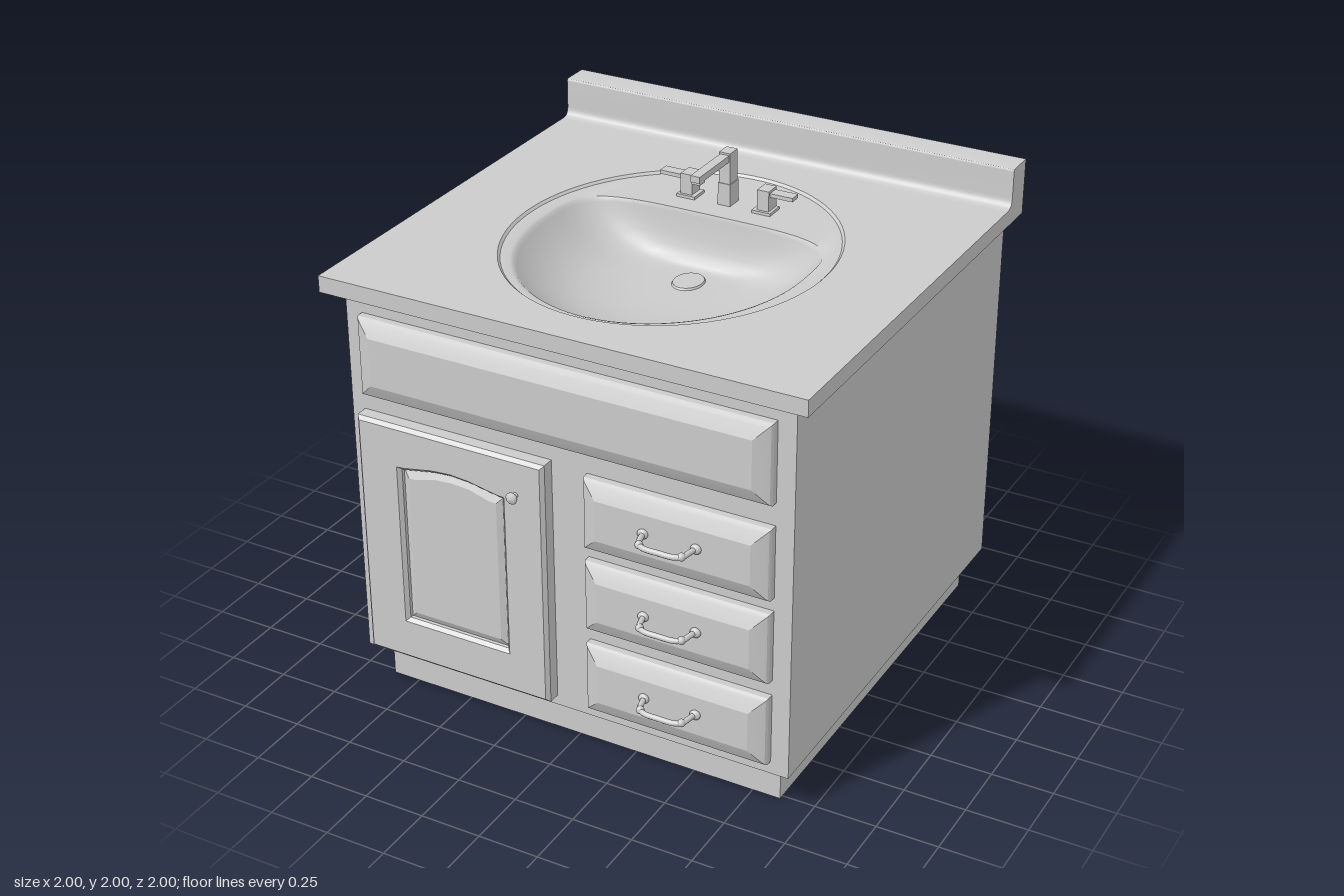
import * as THREE from 'three';
import { toCreasedNormals } from 'three/addons/utils/BufferGeometryUtils.js';

const grey = new THREE.MeshStandardMaterial({ color: 0xcccccc });
const greyDouble = new THREE.MeshStandardMaterial({ color: 0xcccccc, side: THREE.DoubleSide });

function add(parent, name, geometry, material = grey) {
  const mesh = new THREE.Mesh(geometry, material);
  mesh.name = name;
  parent.add(mesh);
  return mesh;
}

// Box given by its limits on each axis
function box(x0, x1, y0, y1, z0, z1) {
  return new THREE.BoxGeometry(x1 - x0, y1 - y0, z1 - z0)
    .translate((x0 + x1) / 2, (y0 + y1) / 2, (z0 + z1) / 2);
}

// Skin over equal-length rings of [x, y, z], closed with a fan on the last ring
function loft(rings, crease) {
  const n = rings[0].length, last = rings[rings.length - 1], index = [];
  const centre = [0, 1, 2].map(k => last.reduce((s, p) => s + p[k], 0) / n);
  for (let r = 0; r < rings.length - 1; r++) {
    for (let i = 0; i < n; i++) {
      const a = r * n + i, b = r * n + (i + 1) % n;
      index.push(a, b, b + n, a, b + n, a + n);
    }
  }
  const base = (rings.length - 1) * n;
  for (let i = 0; i < n; i++) index.push(base + i, base + (i + 1) % n, rings.length * n);
  const g = new THREE.BufferGeometry();
  g.setAttribute('position', new THREE.Float32BufferAttribute([...rings.flat(2), ...centre], 3));
  g.setIndex(index);
  return toCreasedNormals(g, crease);
}

// Raised panel front with a rounded edge and a wide bevel
function raisedPanel(x0, x1, y0, y1) {
  const steps = [[0, 0.83], [0, 0.868], [0.006, 0.878], [0.016, 0.884], [0.065, 0.906]];
  return loft(steps.map(([i, z]) => [
    [x0 + i, y0 + i, z], [x1 - i, y0 + i, z], [x1 - i, y1 - i, z], [x0 + i, y1 - i, z],
  ]), 0.2);
}

// Arched outline of the door panel, drawn in by i
function arch(i) {
  const l = -0.70 + i, r = -0.225 - i, m = (l + r) / 2, t = 1.065 - i;
  return [[l, 0.375 + i], [r, 0.375 + i], [r, t], [r - 0.03, t + 0.002], [m + 0.08, t + 0.026],
    [m, t + 0.032], [m - 0.08, t + 0.026], [l + 0.03, t + 0.002], [l, t]];
}

const toVectors = pts => pts.map(([x, y]) => new THREE.Vector2(x, y));

// Basin outlines at angle a, counter-clockwise from above, as [x, z]
const rimOuter = (a, s = 1) => [0.635 * s * Math.cos(a), 0.03 - 0.71 * s * Math.sin(a)];
const drainEdge = a => [0.06 * Math.cos(a), -0.1 - 0.075 * Math.sin(a)];
function rimInner(a) {
  const c = Math.cos(a), s = Math.sin(a), e = s > 0 ? 0.5 : 1;
  return [0.56 * Math.sign(c) * Math.abs(c) ** e,
    0.05 - (s > 0 ? 0.33 : 0.65) * Math.sign(s) * Math.abs(s) ** e];
}

function basinGeometry() {
  const n = 80;
  const ring = f => Array.from({ length: n }, (_, i) => f((i + 0.5) / n * Math.PI * 2));
  const flat = (fn, y) => ring(a => { const [x, z] = fn(a); return [x, y, z]; });
  const rings = [flat(rimOuter, 1.79), flat(a => rimOuter(a, 0.985), 1.78)];
  for (const s of [1.02, 1, 0.98, 0.95, 0.9, 0.82, 0.72, 0.6, 0.45, 0.3, 0.15, 0]) {
    const y = s > 1 ? 1.78 : 1.775 - 0.205 * (1 - s ** 3.5);
    rings.push(ring(a => {
      const p = rimInner(a), d = drainEdge(a);
      return [d[0] + (p[0] - d[0]) * s, y, d[1] + (p[1] - d[1]) * s];
    }));
  }
  return loft(rings, 0.7);
}

export function createModel() {
  const model = new THREE.Group();
  model.name = 'bathroomVanity';

  // Cabinet, open at the top to take the basin
  add(model, 'toeKick', box(-0.865, 0.865, 0, 0.17, -0.92, 0.77));
  const body = box(-0.93, 0.93, 0.16, 1.73, -0.995, 0.84);
  const idx = Array.from(body.index.array);
  body.setIndex([...idx.slice(0, 12), ...idx.slice(18)]);
  body.clearGroups();
  add(model, 'cabinetBody', body, greyDouble);

  // Countertop with basin opening
  const top = new THREE.Shape(toVectors([[-1, -0.905], [1, -0.905], [1, 1], [-1, 1]]));
  const opening = Array.from({ length: 80 }, (_, i) => {
    const [x, z] = rimOuter((i + 0.5) / 80 * Math.PI * 2);
    return [x, -z];
  });
  top.holes.push(new THREE.Path(toVectors(opening)));
  add(model, 'countertop', new THREE.ExtrudeGeometry(top, { depth: 0.067, bevelEnabled: false })
    .rotateX(-Math.PI / 2).translate(0, 1.723, 0));

  // Backsplash with a cove at its foot; profile x is -z
  const splash = new THREE.Shape();
  splash.moveTo(1, 1.785);
  splash.lineTo(1, 1.952);
  splash.lineTo(0.89, 1.952);
  splash.quadraticCurveTo(0.88, 1.952, 0.88, 1.942);
  splash.lineTo(0.88, 1.83);
  splash.quadraticCurveTo(0.88, 1.79, 0.84, 1.79);
  splash.lineTo(0.84, 1.785);
  add(model, 'backsplash', toCreasedNormals(
    new THREE.ExtrudeGeometry(splash, { depth: 2, bevelEnabled: false, curveSegments: 6 })
      .rotateY(Math.PI / 2).translate(-1, 0, 0), 0.6));

  // Basin and drain
  add(model, 'basin', basinGeometry(), greyDouble);
  add(model, 'drain', new THREE.CylinderGeometry(0.058, 0.062, 0.008, 32)
    .scale(1, 1, 1.25).translate(0, 1.574, -0.1));

  // Drawer fronts and bow handles
  add(model, 'falseDrawerFront', raisedPanel(-0.86, 0.857, 1.318, 1.645));
  const bow = new THREE.CatmullRomCurve3([[-0.108, 0, 0.9], [-0.1, 0, 0.94], [-0.088, -0.003, 0.975],
    [-0.06, -0.005, 0.988], [0, -0.005, 0.99], [0.06, -0.005, 0.988], [0.088, -0.003, 0.975],
    [0.1, 0, 0.94], [0.108, 0, 0.9]].map(p => new THREE.Vector3(...p)));
  [[0.215, 0.51], [0.575, 0.872], [0.927, 1.225]].forEach(([y0, y1]) => {
    add(model, 'drawerFront', raisedPanel(0.095, 0.857, y0, y1));
    const handle = new THREE.Group();
    handle.name = 'drawerHandle';
    handle.position.set(0.47, (y0 + y1) / 2 + 0.008, 0);
    add(handle, 'handleBow', new THREE.TubeGeometry(bow, 32, 0.011, 10));
    for (const s of [-1, 1]) {
      add(handle, 'handleFoot', new THREE.SphereGeometry(0.02, 16, 10)
        .scale(1.1, 1, 0.7).translate(s * 0.108, 0, 0.91));
      add(handle, 'handleCollar', new THREE.SphereGeometry(0.016, 12, 8)
        .translate(s * 0.086, -0.003, 0.975));
    }
    model.add(handle);
  });

  // Door: bevelled frame, arched panel and knob
  const door = new THREE.Group();
  door.name = 'door';
  const frame = new THREE.Shape(toVectors([[-0.86, 0.217], [-0.07, 0.217], [-0.07, 1.225], [-0.86, 1.225]]));
  frame.holes.push(new THREE.Path(toVectors(arch(0)).reverse()));
  add(door, 'doorFrame', new THREE.ExtrudeGeometry(frame, {
    depth: 0.055, bevelThickness: 0.015, bevelSize: 0.014, bevelSegments: 1,
  }).translate(0, 0, 0.835).scale(1, 1, 1));
  const panelSteps = [[-0.01, 0.872], [0.008, 0.872], [0.045, 0.892]];
  add(door, 'doorPanel', loft(panelSteps.map(([i, z]) => arch(i).map(p => [...p, z])), 0.2));
  const knob = toVectors([[0.014, 0], [0.009, 0.01], [0.009, 0.018], [0.022, 0.026], [0.024, 0.034],
    [0.016, 0.042], [0, 0.045]]);
  add(door, 'doorKnob', new THREE.LatheGeometry(knob, 20).rotateX(Math.PI / 2)
    .translate(-0.175, 1.09, 0.9));
  model.add(door);

  // Faucet: square spout and two lever taps
  const faucet = new THREE.Group();
  faucet.name = 'faucet';
  add(faucet, 'spoutBase', box(-0.027, 0.027, 1.775, 1.872, -0.457, -0.387));
  add(faucet, 'spoutPost', box(-0.024, 0.024, 1.87, 2, -0.452, -0.39));
  add(faucet, 'spoutArm', box(-0.02, 0.02, 1.965, 1.992, -0.4, -0.15));
  add(faucet, 'spoutOutlet', box(-0.018, 0.018, 1.955, 1.97, -0.195, -0.155));
  for (const s of [-1, 1]) {
    const tap = new THREE.Group();
    tap.name = s > 0 ? 'leftTap' : 'rightTap';
    const spanX = (a, b) => (s > 0 ? [a, b] : [-b, -a]);
    add(tap, 'tapBase', box(...spanX(0.125, 0.205), 1.775, 1.792, -0.46, -0.378));
    add(tap, 'tapPost', box(...spanX(0.143, 0.193), 1.78, 1.876, -0.457, -0.39));
    add(tap, 'tapLever', box(...spanX(0.18, 0.29), 1.85, 1.866, -0.448, -0.4));
    faucet.add(tap);
  }
  model.add(faucet);
  return model;
}
